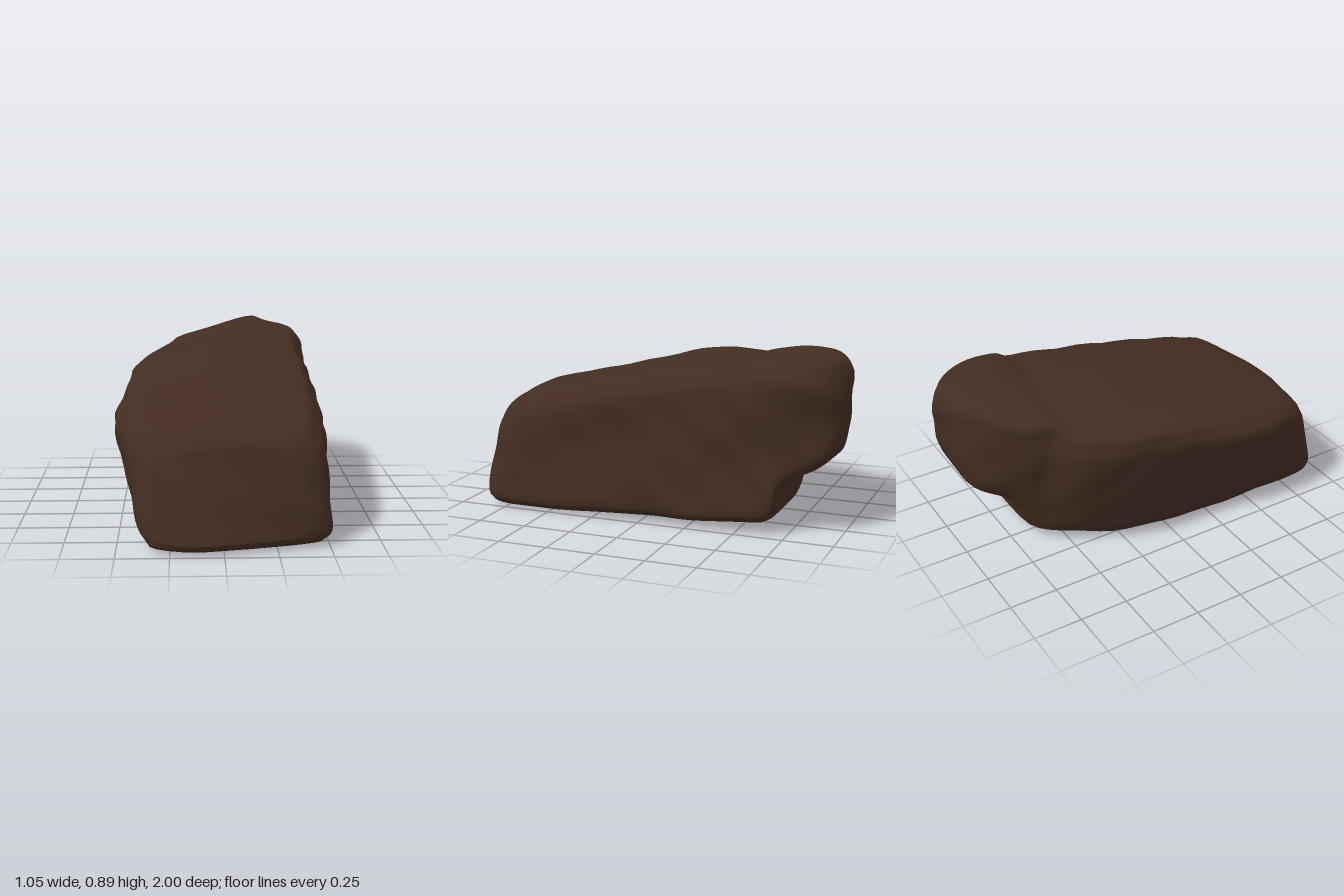
import * as THREE from 'three';

// Corner-cutting subdivision of a list of number arrays
function soften(list, closed) {
  const out = closed ? [] : [list[0]];
  const n = closed ? list.length : list.length - 1;
  const mix = (a, b, t) => a.map((v, i) => v + (b[i] - v) * t);
  for (let i = 0; i < n; i++) {
    const a = list[i], b = list[(i + 1) % list.length];
    out.push(mix(a, b, 0.25), mix(a, b, 0.75));
  }
  if (!closed) out.push(list[list.length - 1]);
  return out;
}

// Cross-sections from front to back:
// zBottom, zTop, xBottomLeft, xLeft, yLeft, xTopLeft, yTopLeft, yTopMid, yTopRight, xRight, xBottomRight, yBottom
const SECTIONS = [
  [1.0, 0.86, -0.31, -0.33, 0.38, -0.27, 0.45, 0.48, 0.46, 0.38, 0.42, 0.05],
  [0.98, 0.81, -0.36, -0.42, 0.45, -0.37, 0.53, 0.55, 0.55, 0.47, 0.51, 0.01],
  [0.85, 0.70, -0.37, -0.49, 0.50, -0.43, 0.57, 0.605, 0.60, 0.50, 0.53, 0.0],
  [0.40, 0.40, -0.37, -0.54, 0.53, -0.46, 0.62, 0.68, 0.66, 0.50, 0.52, 0.0],
  [0.0, 0.0, -0.36, -0.49, 0.56, -0.45, 0.68, 0.785, 0.74, 0.50, 0.51, 0.02],
  [-0.26, -0.26, -0.33, -0.48, 0.59, -0.45, 0.70, 0.855, 0.79, 0.50, 0.51, 0.02],
  [-0.53, -0.53, -0.20, -0.43, 0.60, -0.39, 0.72, 0.835, 0.83, 0.505, 0.50, 0.04],
  [-0.69, -0.57, -0.06, -0.26, 0.60, -0.26, 0.79, 0.855, 0.85, 0.51, 0.48, 0.05],
  [-0.71, -0.75, -0.10, -0.25, 0.62, -0.24, 0.79, 0.89, 0.86, 0.51, 0.47, 0.25],
  [-0.91, -0.91, 0.0, -0.02, 0.62, 0.0, 0.81, 0.905, 0.83, 0.45, 0.43, 0.33],
  [-0.97, -0.98, 0.09, 0.07, 0.62, 0.10, 0.78, 0.87, 0.77, 0.37, 0.36, 0.43],
  [-0.98, -1.0, 0.17, 0.16, 0.66, 0.17, 0.75, 0.80, 0.75, 0.31, 0.30, 0.55],
];

// Rounded closed outline of one section, on a slanted plane; scale shrinks it to fill the ends
function ring([zb, zt, xbl, xl, yl, xtl, ytl, ytm, ytr, xr, xbr, yb], scale = 1) {
  const corners = [
    [xbl + 0.03, yb], [xbr - 0.06, yb + 0.005], [xbr, yb + 0.05],
    [(xr + xbr) / 2 - 0.015, (yb + ytr) / 2], [xr - 0.005, ytr - 0.1], [xr - 0.08, ytr],
    [(xtl + xr) / 2, ytm], [xtl, ytl], [xl, yl], [xbl - 0.03, yb + 0.09],
  ];
  let outline = [];
  corners.forEach((p, i) => {
    const q = corners[(i + 1) % corners.length];
    outline.push(p, [(p[0] + q[0]) / 2, (p[1] + q[1]) / 2]);
  });
  outline = soften(soften(outline, true), true);
  const cx = (xl + xr) / 2, cy = (yb + ytm) / 2;
  // The front face bows back towards both sides
  const bow = 0.2 * THREE.MathUtils.smoothstep(zb, 0.55, 1);
  return outline.map(([px, py]) => {
    const x = cx + (px - cx) * scale, y = cy + (py - cy) * scale;
    const t = (y - yb) / (Math.max(ytm, ytr) - yb);
    // Gentle weathered unevenness
    const bump = 0.006 * Math.sin(9 * x + 13 * y + 7 * zb) + 0.004 * Math.sin(23 * y - 17 * zb + 5 * x);
    const z = zb + (zt - zb) * t - bow * Math.abs(x + 0.13) * (1 - 0.6 * t);
    return [x + bump, y + bump * 0.6 * t, z + bump * 0.5];
  });
}

function rockGeometry() {
  const body = soften(soften(SECTIONS, false), false).map((s) => ring(s));
  const fill = [0.75, 0.5, 0.25, 0];
  const front = fill.map((s) => ring(SECTIONS[0], s)).reverse();
  const back = fill.map((s) => ring(SECTIONS[SECTIONS.length - 1], s));
  const rings = [...front, ...body, ...back];
  const n = rings[0].length;
  const index = [];
  for (let r = 0; r < rings.length - 1; r++) {
    for (let i = 0; i < n; i++) {
      const a = r * n + i, b = r * n + (i + 1) % n;
      if (r < rings.length - 2) index.push(a, a + n, b);
      else index.push(a, a + n, b);
      if (r > 0 && r < rings.length - 2) index.push(b, a + n, b + n);
      else if (r === 0) index.push(b, a + n, b + n);
    }
  }
  const geometry = new THREE.BufferGeometry();
  geometry.setAttribute('position', new THREE.Float32BufferAttribute(rings.flat(2), 3));
  geometry.setIndex(index);
  geometry.computeVertexNormals();
  return geometry;
}

export function createModel() {
  const group = new THREE.Group();
  group.name = 'boulder';
  const stone = new THREE.MeshStandardMaterial({ color: 0x432d22 });
  stone.name = 'dark brown stone';
  const rock = new THREE.Mesh(rockGeometry(), stone);
  rock.name = 'rock';
  // Rest the lowest point on the ground
  rock.geometry.computeBoundingBox();
  rock.position.y = -rock.geometry.boundingBox.min.y;
  group.add(rock);
  return group;
}
